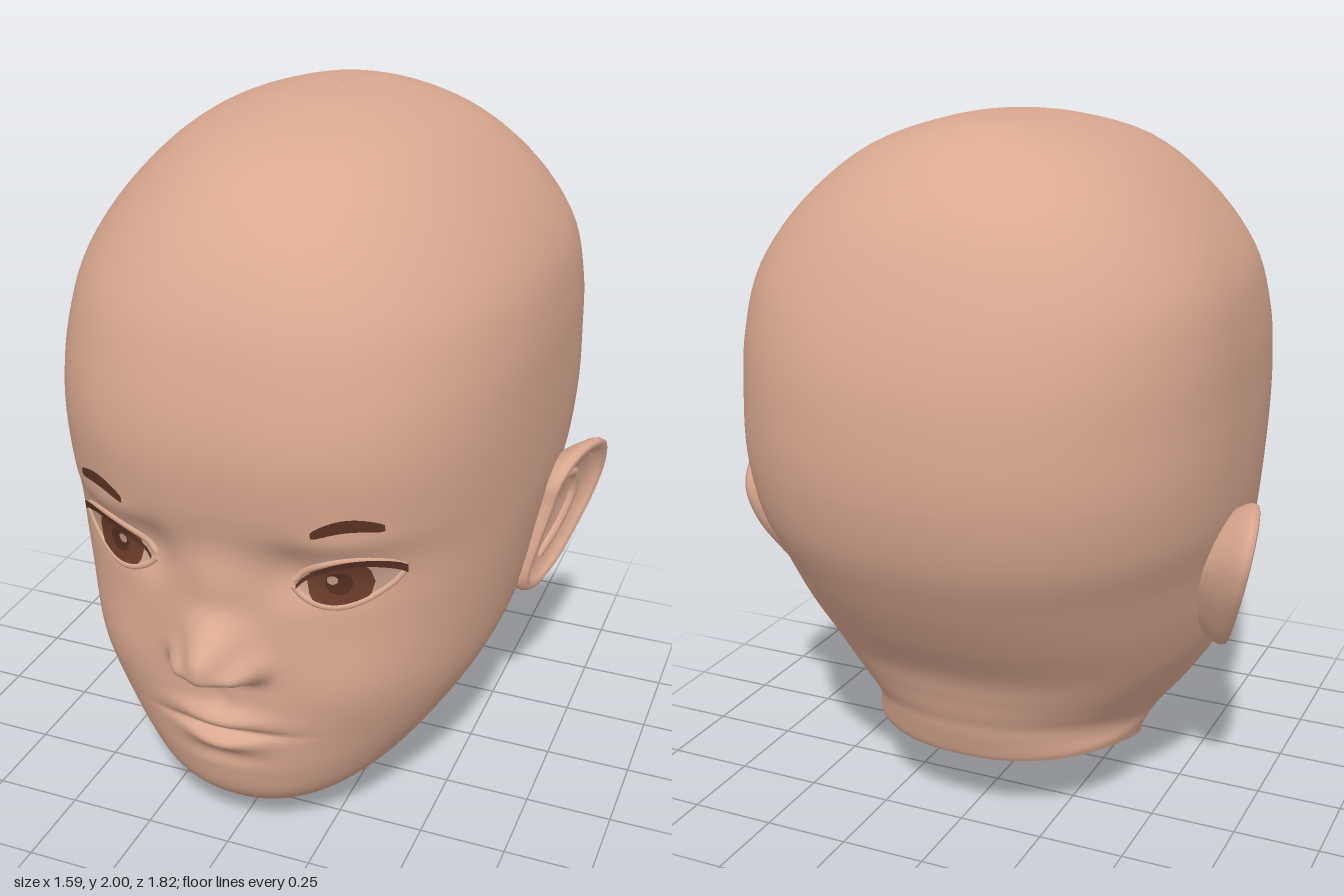
import * as THREE from 'three';

const mat = (name, color) => new THREE.MeshStandardMaterial({ name, color, side: THREE.DoubleSide });
const { lerp, smoothstep, clamp } = THREE.MathUtils;
const bell = (d, spread) => Math.exp(-((d / spread) ** 2));

// Head rings from crown to neck rim: front y, front z, back y, back z, half width, z of widest point
const RINGS = [
  [2.0, -0.139, 2.0, -0.141, 0.001, -0.14],
  [1.985, 0.1, 1.985, -0.36, 0.16, -0.14],
  [1.91, 0.4, 1.91, -0.54, 0.37, -0.15],
  [1.77, 0.6, 1.77, -0.71, 0.535, -0.18],
  [1.6, 0.73, 1.6, -0.82, 0.65, -0.2],
  [1.43, 0.79, 1.43, -0.885, 0.688, -0.2],
  [1.26, 0.818, 1.26, -0.91, 0.695, -0.2],
  [1.1, 0.805, 1.1, -0.908, 0.695, -0.2],
  [0.95, 0.77, 0.93, -0.87, 0.685, -0.15],
  [0.8, 0.765, 0.78, -0.795, 0.66, -0.05],
  [0.65, 0.765, 0.64, -0.705, 0.635, 0],
  [0.5, 0.765, 0.51, -0.61, 0.6, 0.05],
  [0.37, 0.76, 0.43, -0.575, 0.55, 0.08],
  [0.25, 0.745, 0.37, -0.555, 0.49, 0.08],
  [0.14, 0.7, 0.33, -0.54, 0.44, 0.03],
  [0.07, 0.58, 0.29, -0.53, 0.41, -0.05],
  [0.06, 0.28, 0.23, -0.51, 0.4, -0.12],
  [0.0, 0.24, 0.21, -0.5, 0.392, -0.13],
];
const LAST = RINGS.length - 1, BROW = 7, JAW = 13;

// Smooth ring values at position t along the list
function ringAt(t) {
  const i = Math.min(Math.floor(t), LAST - 1), f = t - i;
  const [a, b, c, d] = [i - 1, i, i + 1, i + 2].map((k) => RINGS[clamp(k, 0, LAST)]);
  return b.map((p, k) => p + 0.5 * f * (c[k] - a[k]
    + f * (2 * a[k] - 5 * p + 4 * c[k] - d[k] + f * (3 * (p - c[k]) + d[k] - a[k]))));
}

// Front halves are squarest around the temples, back halves rounder
const squareness = (y) => 2.15 + 0.45 * bell(y - 1.2, 0.5);
const BACK_SQUARENESS = 2.25;

// Nose ridge: long slope above the tip, steep underside
function noseHeight(y) {
  const d = y - 0.665;
  return (d > 0 ? 0.145 * Math.exp(-((d / 0.095) ** 2.4)) : 0.145 * Math.exp(-((d / 0.07) ** 4))) + 0.025 * bell(y - 0.86, 0.1);
}

// Forward relief: x, y, x spread, y spread, height
const RELIEF = [
  [0.095, 0.635, 0.045, 0.042, 0.06],   // nostril wing
  [0.2, 0.92, 0.07, 0.09, -0.03],       // inner eye hollow
  [0.34, 0.9, 0.13, 0.07, -0.015],      // socket
  [0.34, 1.03, 0.16, 0.04, 0.01],       // brow
  [0.38, 0.56, 0.17, 0.15, 0.03],       // cheek
  [0, 0.445, 0.12, 0.03, 0.036],        // upper lip
  [0, 0.403, 0.14, 0.012, -0.03],       // mouth line
  [0, 0.368, 0.1, 0.03, 0.036],         // lower lip
  [0, 0.305, 0.1, 0.025, -0.008],       // fold under lip
  [0, 0.51, 0.02, 0.04, -0.01],         // philtrum
];
const relief = (x, y) => RELIEF.reduce(
  (h, [cx, cy, sx, sy, a]) => h + a * bell(Math.abs(x) - cx, sx) * bell(y - cy, sy),
  noseHeight(y) * bell(x, 0.085));

// Depth of the face surface at x, y
function faceZ(x, y) {
  let lo = 4, hi = JAW;
  for (let i = 0; i < 30; i++) {
    const m = (lo + hi) / 2;
    if (ringAt(m)[0] > y) lo = m; else hi = m;
  }
  const [yf, zf, , , w, zm] = ringAt(lo), n = squareness(yf);
  return zm + (zf - zm) * Math.max(0, 1 - Math.abs(x / w) ** n) ** (1 / n) + relief(x, y);
}

// Surface from rows of points
function surface(rows, closed) {
  const cols = rows[0].length, index = [];
  for (let i = 0; i < rows.length - 1; i++) {
    for (let j = 0; j < (closed ? cols : cols - 1); j++) {
      const k = (j + 1) % cols;
      const a = i * cols + j, b = a + cols, c = i * cols + k, d = c + cols;
      index.push(a, b, c, c, b, d);
    }
  }
  const g = new THREE.BufferGeometry();
  g.setAttribute('position', new THREE.Float32BufferAttribute(rows.flat(2), 3));
  g.setIndex(index);
  g.computeVertexNormals();
  return g;
}

function headGeometry() {
  const rows = [], COLS = 160;
  for (let k = 0; k <= LAST; k++) {
    const steps = k === LAST ? 1 : k >= BROW && k < JAW ? 14 : 5; // finer over the face
    for (let s = 0; s < steps; s++) {
      const at = k + s / steps;
      const [yf, zf, yb, zb, w, zm] = ringAt(at);
      const bow = 0.065 * smoothstep(at, JAW, LAST); // arched neck rim
      rows.push(Array.from({ length: COLS }, (_, j) => {
        const u = (j / COLS) * Math.PI * 2, phi = u - 0.45 * Math.sin(u);
        const sn = Math.sin(phi), cs = Math.cos(phi);
        const n = cs > 0 ? squareness(yf) : BACK_SQUARENESS;
        const r = (Math.abs(sn) ** n + Math.abs(cs) ** n) ** (-1 / n);
        const x = w * r * sn, z = zm + (cs > 0 ? zf - zm : zm - zb) * r * cs;
        const t = (zf - z) / (zf - zb), y = lerp(yf, yb, t) + bow * 4 * t * (1 - t);
        return [x, y, z > 0.3 ? z + relief(x, y) * smoothstep(z, 0.3, 0.42) : z];
      }));
    }
  }
  return surface(rows, true);
}

// Thin patch lying on the face between two height curves
function patch(side, x0, x1, low, high, off) {
  const rows = [], nu = 20, nv = 5;
  for (let v = 0; v <= nv; v++) {
    rows.push(Array.from({ length: nu + 1 }, (_, j) => {
      const u = j / nu, x = lerp(x0, x1, u), y = lerp(high(u, x), low(u, x), v / nv);
      return [side * x, y, faceZ(x, y) + off];
    }));
  }
  return surface(rows, false);
}

// Ear outline (z, y) and loops (scale, outward offset) from the back to the bowl
const EAR = [[-0.04, 0.83], [-0.05, 0.9], [-0.12, 0.96], [-0.22, 0.975], [-0.31, 0.95], [-0.355, 0.87],
  [-0.34, 0.77], [-0.28, 0.66], [-0.2, 0.56], [-0.11, 0.52], [-0.03, 0.54], [0, 0.6]];
const EAR_LOOPS = [[0.6, -0.12], [0.88, -0.05], [0.98, -0.018], [1, 0], [0.98, 0.015], [0.92, 0.02],
  [0.86, 0.01], [0.79, -0.008], [0.6, -0.014], [0.42, -0.026], [0.001, -0.03]];
const earX = (z, y) => 0.657 - 0.27 * z + 0.19 * (y - 0.75);

function earGeometry(side) {
  const points = EAR.map(([z, y]) => new THREE.Vector3(0, y, z));
  const outline = new THREE.CatmullRomCurve3(points, true).getPoints(48).slice(0, -1);
  return surface(EAR_LOOPS.map(([s, off]) => outline.map((p) => {
    const z = lerp(-0.17, p.z, s), y = lerp(0.76, p.y, s);
    return [side * (earX(z, y) + off), y, z];
  })), true);
}

const tube = (points, r) => new THREE.TubeGeometry(new THREE.CatmullRomCurve3(points), 24, r, 8);

export function createModel() {
  const skin = mat('skin', 0xd9a890), eyeWhite = mat('eye surface', 0xc9a18d), iris = mat('iris brown', 0x6c3d2b);
  const pupil = mat('pupil brown', 0x54301f), hair = mat('brow and lash brown', 0x5c3425), glint = mat('eye glint', 0xc49a88);
  const model = new THREE.Group();
  const add = (name, geometry, material) => {
    const mesh = new THREE.Mesh(geometry, material);
    mesh.name = name;
    model.add(mesh);
    return mesh;
  };

  add('head', headGeometry(), skin);

  // Eye opening heights
  const X0 = 0.2, X1 = 0.465;
  const arch = (u) => Math.max(0, Math.sin(Math.PI * clamp(u, 0, 1))) ** 0.75;
  const mid = (u) => lerp(0.885, 0.925, u);
  const upper = (u) => mid(u) + 0.06 * arch(u);
  const lower = (u) => mid(u) - 0.068 * arch(u);
  const toU = (x) => (x - X0) / (X1 - X0);

  for (const side of [1, -1]) {
    const tag = side > 0 ? 'left' : 'right';

    // Eye, its round layers clipped by the lids
    add(tag + 'Eye', patch(side, X0, X1, lower, upper, 0.004), eyeWhite);
    const disc = (name, cx, cy, r, off, material) => {
      const half = (x) => Math.sqrt(Math.max(0, r * r - (x - cx) ** 2));
      add(tag + name, patch(side, cx - r, cx + r,
        (u, x) => Math.max(cy - half(x), lower(toU(x))),
        (u, x) => Math.min(cy + half(x), upper(toU(x))), off), material);
    };
    disc('Iris', 0.32, 0.902, 0.083, 0.007, iris);
    disc('Pupil', 0.32, 0.902, 0.034, 0.009, pupil);
    disc('Glint', 0.305, 0.913, 0.014, 0.011, glint);

    // Lids
    for (const [name, curve, lift] of [['UpperLid', upper, 0.01], ['LowerLid', lower, -0.005]]) {
      const points = Array.from({ length: 13 }, (_, i) => {
        const u = i / 12, x = lerp(X0, X1, u), y = curve(u) + lift;
        return new THREE.Vector3(side * x, y, faceZ(x, y));
      });
      add(tag + name, tube(points, 0.01), skin);
    }

    // Lashes and eyebrow
    add(tag + 'Lashes', patch(side, X0 + 0.01, X1 + 0.012, (u) => upper(u) - 0.008,
      (u) => upper(u) + 0.006 + 0.013 * u, 0.016), hair);
    const bend = (u) => Math.max(0, Math.sin(Math.PI * u));
    const brow = (u) => lerp(1.068, 1.078, u) + 0.022 * bend(u);
    const thick = (u) => 0.009 + 0.01 * Math.sqrt(bend(u));
    add(tag + 'Eyebrow', patch(side, 0.268, 0.436, (u) => brow(u) - thick(u), (u) => brow(u) + thick(u), 0.006), hair);

    // Ear with inner fold and front flap
    add(tag + 'Ear', earGeometry(side), skin);
    const fold = [[-0.13, 0.89], [-0.22, 0.87], [-0.255, 0.79], [-0.21, 0.68], [-0.13, 0.61]];
    add(tag + 'EarFold', tube(fold.map(([z, y]) => new THREE.Vector3(side * (earX(z, y) - 0.022), y, z)), 0.016), skin);
    const flap = add(tag + 'EarFlap', new THREE.SphereGeometry(0.03, 12, 10), skin);
    flap.position.set(side * 0.645, 0.7, -0.04);
    flap.scale.set(0.6, 1.5, 1);
  }
  return model;
}
